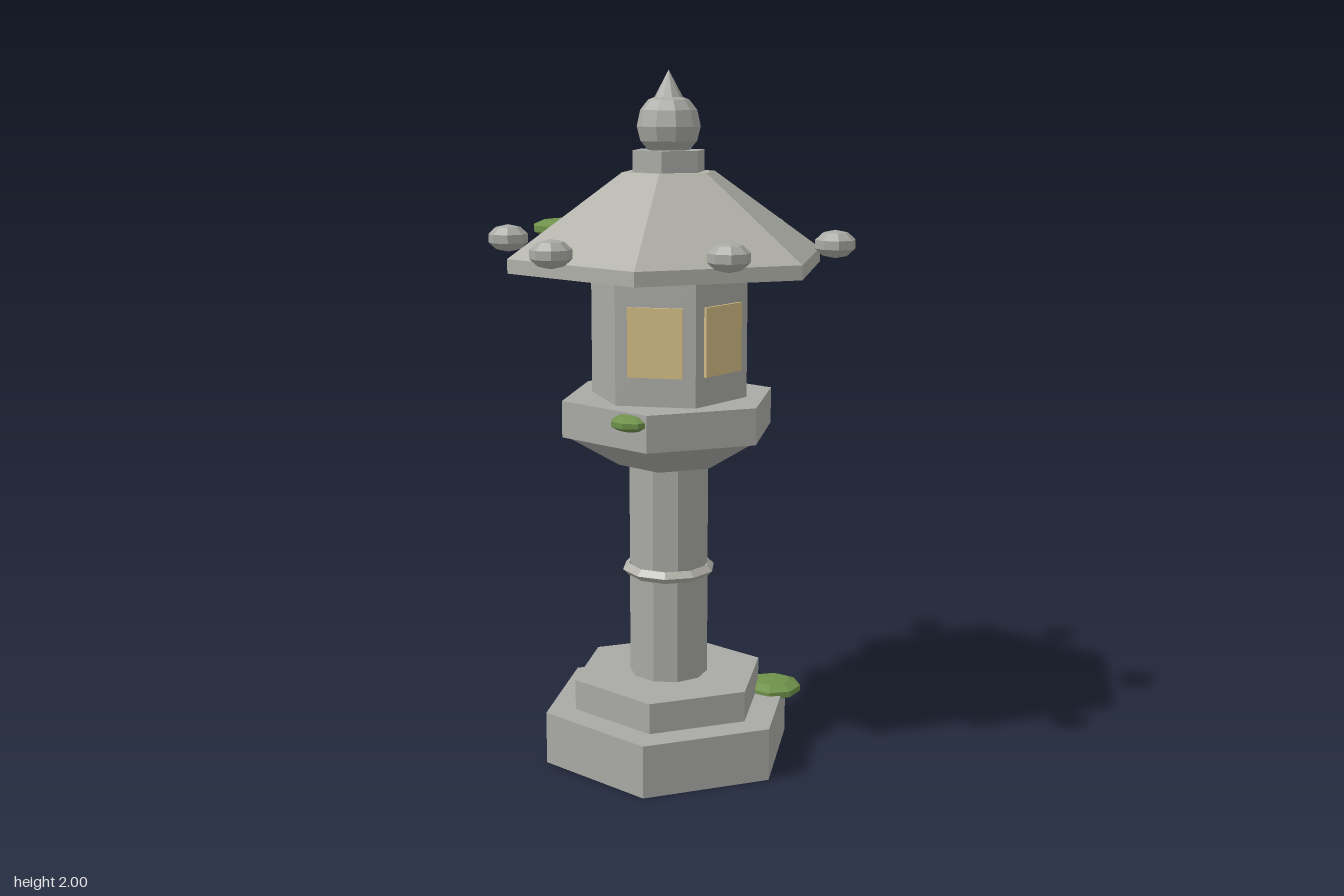
import * as THREE from 'three';

const flat = (name, color) => {
  const m = new THREE.MeshStandardMaterial({ color, flatShading: true });
  m.name = name;
  return m;
};

export function createModel() {
  const stone = flat('stone', 0xa9a9a5);
  const paleStone = flat('pale stone', 0xb1b1a9);
  const paper = flat('window paper', 0xd2bb84);
  const moss = flat('moss', 0x6f914a);

  const model = new THREE.Group();
  model.name = 'stoneLantern';

  const add = (name, geometry, material, x = 0, y = 0, z = 0, parent = model) => {
    const mesh = new THREE.Mesh(geometry, material);
    mesh.name = name;
    mesh.position.set(x, y, z);
    parent.add(mesh);
    return mesh;
  };

  // Upright prism between two heights, with a corner facing the front
  const prism = (name, bottomR, topR, y0, y1, material = stone, sides = 6) =>
    add(name, new THREE.CylinderGeometry(topR, bottomR, y1 - y0, sides), material, 0, (y0 + y1) / 2, 0);

  // Stepped base and shaft
  prism('base', 0.38, 0.38, 0, 0.155);
  prism('baseStep', 0.29, 0.29, 0.155, 0.245);
  prism('shaft', 0.115, 0.115, 0.245, 0.885, stone, 10);
  const ring = add('shaftRing', new THREE.TorusGeometry(0.12, 0.0175, 4, 10), paleStone, 0, 0.565, 0);
  ring.rotation.x = Math.PI / 2;

  // Flared support and platform
  prism('platformFlare', 0.152, 0.305, 0.885, 0.978);
  prism('platform', 0.32, 0.32, 0.978, 1.083);

  // Fire box, turned so a flat side faces the front
  const fireBox = prism('fireBox', 0.227, 0.227, 1.083, 1.45);
  fireBox.rotation.y = Math.PI / 6;

  // Windows on the front, back and two front-facing sides
  for (const degrees of [0, 60, -60, 180]) {
    const side = new THREE.Group();
    side.name = 'windowSide';
    side.rotation.y = THREE.MathUtils.degToRad(degrees);
    add('window', new THREE.BoxGeometry(0.156, 0.195, 0.009), paper, 0, 1.263, 0.2005, side);
    model.add(side);
  }

  // Roof
  prism('roofEave', 0.47, 0.47, 1.45, 1.49, paleStone);
  prism('roofSlope', 0.47, 0.138, 1.49, 1.72, paleStone);
  prism('roofCollar', 0.107, 0.107, 1.72, 1.78);

  // Ring of flattened knobs around the eave
  for (let i = 0; i < 6; i++) {
    const a = Math.PI / 6 + (i * Math.PI) / 3;
    const knob = add('eaveKnob', new THREE.SphereGeometry(0.06, 8, 5), stone,
      0.472 * Math.sin(a), 1.525, 0.472 * Math.cos(a));
    knob.scale.y = 0.66;
  }

  // Finial: ball with a pointed tip
  const profile = [
    [0, 1.765], [0.055, 1.775], [0.08, 1.805], [0.09, 1.845],
    [0.08, 1.89], [0.058, 1.918], [0.04, 1.925], [0, 2],
  ].map(([r, y]) => new THREE.Vector2(r, y));
  add('finial', new THREE.LatheGeometry(profile, 10), stone);

  // Moss patches: [x, y, z, radius, half height]
  for (const [x, y, z, r, h] of [
    [0.272, 0.157, 0.183, 0.09, 0.028],
    [-0.27, 1.055, 0.1, 0.062, 0.024],
    [-0.19, 1.562, -0.235, 0.09, 0.028],
    [0.236, 1.578, -0.176, 0.052, 0.016],
  ]) {
    const patch = add('mossPatch', new THREE.SphereGeometry(1, 8, 5), moss, x, y, z);
    patch.scale.set(r, h, r);
    patch.rotation.y = x * 2;
  }

  return model;
}
